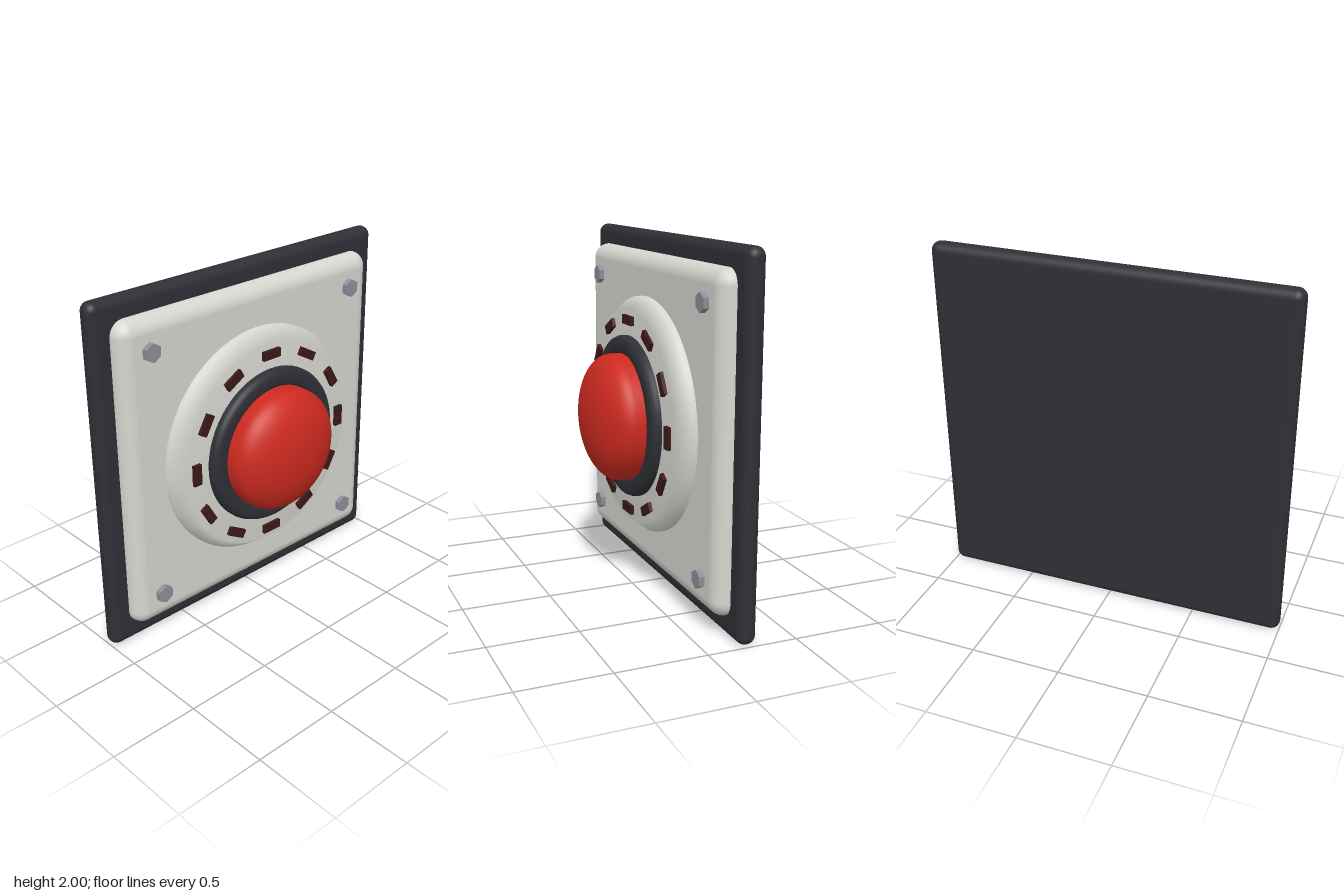
import * as THREE from 'three';
import { RoundedBoxGeometry } from 'three/addons/geometries/RoundedBoxGeometry.js';

const material = (color, flatShading = false) => new THREE.MeshStandardMaterial({ color, flatShading });

// Turned part: pairs of [radius, z], from back to front
function turned(points, segments = 64) {
  const geometry = new THREE.LatheGeometry(points.map(([r, z]) => new THREE.Vector2(r, z)), segments);
  return geometry.rotateX(Math.PI / 2);
}

export function createModel() {
  const model = new THREE.Group();
  model.name = 'wallPushButton';

  const dark = material(0x2e3036);
  const cream = material(0xd6d6d0);
  const red = material(0xcc2a20);
  const maroon = material(0x3c1818);
  const steel = material(0x8c8e98, true);

  const add = (name, geometry, mat, x = 0, y = 0, z = 0) => {
    const mesh = new THREE.Mesh(geometry, mat);
    mesh.name = name;
    mesh.position.set(x, y + 1, z);
    model.add(mesh);
    return mesh;
  };

  // Square plates, one on the other
  add('backPlate', new RoundedBoxGeometry(2, 2, 0.105, 5, 0.05), dark, 0, 0, -0.2275);
  add('facePlate', new RoundedBoxGeometry(1.78, 1.78, 0.18, 5, 0.085), cream, 0, 0, -0.18);

  // Bevelled round housing
  add('housing', turned([[0.66, -0.12], [0.66, -0.065], [0.6, 0.015], [0, 0.015]]), cream);

  // Collar around the button
  add('collar', turned([
    [0.45, 0], [0.45, 0.035], [0.442, 0.053], [0.42, 0.068],
    [0.37, 0.068], [0.352, 0.055], [0.345, 0],
  ]), dark);

  // Domed button
  const dome = [[0.352, 0], [0.352, 0.07]];
  for (let i = 0; i <= 16; i++) {
    const a = (i / 16) * Math.PI / 2;
    dome.push([i === 16 ? 0 : 0.352 * Math.cos(a), 0.11 + 0.17 * Math.sin(a)]);
  }
  add('button', turned(dome), red);

  // Ring of indicator lamps
  const lampGeometry = new THREE.BoxGeometry(0.12, 0.05, 0.04);
  for (let i = 0; i < 12; i++) {
    const a = (i / 12) * Math.PI * 2;
    const lamp = add('lamp', lampGeometry, maroon, -0.536 * Math.sin(a), 0.536 * Math.cos(a), 0.015);
    lamp.rotation.z = a;
  }

  // Hexagonal corner bolts
  const boltGeometry = new THREE.CylinderGeometry(0.052, 0.052, 0.06, 6).rotateX(Math.PI / 2);
  for (const x of [-0.715, 0.715]) {
    for (const y of [-0.715, 0.715]) add('bolt', boltGeometry, steel, x, y, -0.09);
  }

  return model;
}
